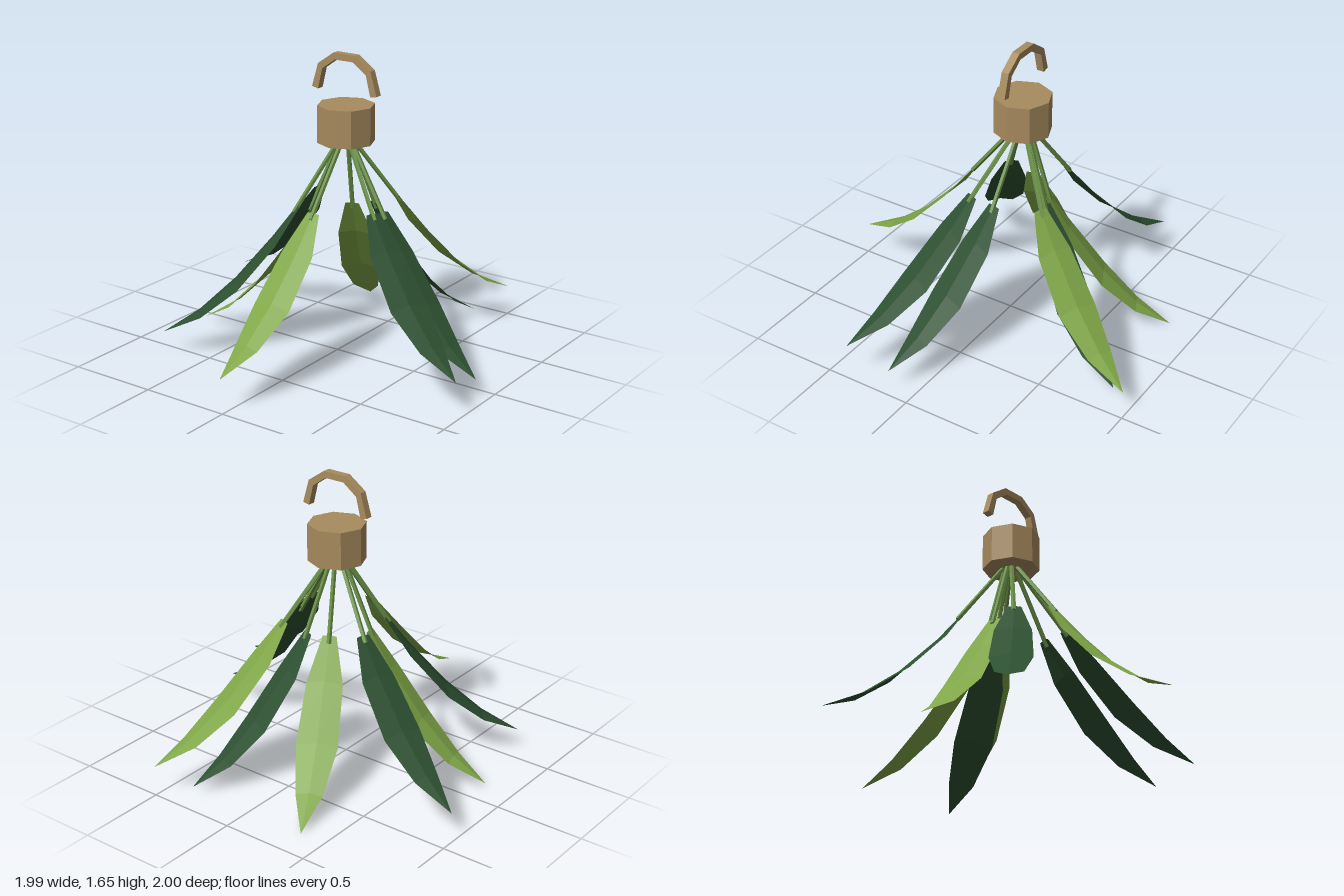
import * as THREE from 'three';

const HUB_Z = -0.077;

// Leaf base [x, y, z], tip [x, y, z] and shade
const LEAVES = [
  { base: [0.18, 0.85, -0.30], tip: [0.50, 0.17, -1.0], light: true },
  { base: [0.06, 0.80, -0.25], tip: [0.355, 0.04, -0.865] },
  { base: [-0.045, 0.79, -0.20], tip: [-0.345, 0.0, -0.825], light: true },
  { base: [-0.26, 0.85, -0.195], tip: [-0.995, 0.17, -0.43] },
  { base: [-0.18, 0.80, -0.03], tip: [-0.845, 0.035, 0.115], light: true },
  { base: [-0.18, 0.83, 0.11], tip: [-0.75, 0.125, 0.585] },
  { base: [0.0, 0.853, 0.22], tip: [-0.015, 0.185, 0.995], light: true },
  { base: [0.27, 0.86, 0.065], tip: [0.99, 0.205, 0.38] },
  { base: [0.25, 0.83, -0.06], tip: [0.96, 0.125, 0.135] },
];

// Leaf stations: [distance along leaf, half width, ridge height]
const STATIONS = [
  [0, 0.038, 0.006],
  [0.18, 0.098, 0.018],
  [0.46, 0.112, 0.022],
  [0.73, 0.072, 0.014],
  [1, 0.001, 0],
];

// Drooping blade folded along a raised midrib
function leafGeometry(base, tip) {
  const side = new THREE.Vector3(-(tip.z - base.z), 0, tip.x - base.x).normalize();
  const positions = [];
  const index = [];
  STATIONS.forEach(([u, halfWidth, ridge], i) => {
    const mid = base.clone().lerp(tip, u);
    mid.y = base.y + (tip.y - base.y) * (1.6 * u - 0.6 * u * u);
    for (const s of [-1, 0, 1]) {
      const p = mid.clone().addScaledVector(side, s * halfWidth);
      p.y += s === 0 ? ridge / 2 : -ridge / 2;
      positions.push(p.x, p.y, p.z);
    }
    if (i === 0) return;
    for (let k = 0; k < 2; k++) {
      const a = (i - 1) * 3 + k;
      index.push(a, a + 1, a + 4, a, a + 4, a + 3);
    }
  });
  const geometry = new THREE.BufferGeometry();
  geometry.setAttribute('position', new THREE.Float32BufferAttribute(positions, 3));
  // Wind every face so its front looks upward
  for (let i = 0; i < index.length; i += 3) {
    [index[i + 1], index[i + 2]] = [index[i + 2], index[i + 1]];
  }
  geometry.setIndex(index);
  const flat = geometry.toNonIndexed();
  flat.computeVertexNormals();
  return flat;
}

// Thin five-sided rod between two points
function rod(from, to, radius, material) {
  const axis = to.clone().sub(from);
  const mesh = new THREE.Mesh(
    new THREE.CylinderGeometry(radius, radius, axis.length(), 5), material);
  mesh.position.copy(from).add(to).multiplyScalar(0.5);
  mesh.quaternion.setFromUnitVectors(new THREE.Vector3(0, 1, 0), axis.normalize());
  return mesh;
}

// Half ring of five straight pieces with a square section
function hookGeometry() {
  const outer = [[0.207, 1.453], [0.168, 1.583], [0.068, 1.653]];
  const inner = [[0.058, 1.617], [0.14, 1.558], [0.168, 1.445]];
  const mirror = (list) => list.map(([x, y]) => [-x, y]).reverse();
  const outline = [...outer, ...mirror(outer), ...mirror(inner), ...inner];
  const shape = new THREE.Shape(outline.map(([x, y]) => new THREE.Vector2(x, y)));
  const geometry = new THREE.ExtrudeGeometry(shape, { depth: 0.042, bevelEnabled: false });
  return geometry.translate(0, 0, HUB_Z - 0.021);
}

export function createModel() {
  const make = (name, color, side = THREE.FrontSide) => {
    const material = new THREE.MeshStandardMaterial({ color, side, flatShading: true });
    material.name = name;
    return material;
  };
  const wood = make('wood', 0xa88b5e);
  const stemGreen = make('stem green', 0x6b9148);
  const lightGreen = make('light leaf green', 0x7fa647, THREE.DoubleSide);
  const darkGreen = make('dark leaf green', 0x2d5031, THREE.DoubleSide);

  const model = new THREE.Group();
  model.name = 'hangingLeafBundle';

  // Eight-sided binding block
  const block = new THREE.Mesh(new THREE.CylinderGeometry(0.156, 0.156, 0.205, 8), wood);
  block.name = 'bindingBlock';
  block.position.set(0, 1.2775, HUB_Z);
  model.add(block);

  // Hanging hook
  const hook = new THREE.Mesh(hookGeometry(), wood);
  hook.name = 'hook';
  model.add(hook);

  // Stems and leaves
  LEAVES.forEach((spec, i) => {
    const base = new THREE.Vector3(...spec.base);
    const tip = new THREE.Vector3(...spec.tip);
    const group = new THREE.Group();
    group.name = `leafStalk${i + 1}`;

    const outward = new THREE.Vector3(base.x, 0, base.z - HUB_Z).normalize();
    const root = new THREE.Vector3(0, 1.19, HUB_Z).addScaledVector(outward, 0.035);
    const end = base.clone().lerp(tip, 0.03);
    end.y -= 0.012;
    const stem = rod(root, end, 0.013, stemGreen);
    stem.name = 'stem';

    const leaf = new THREE.Mesh(leafGeometry(base, tip), spec.light ? lightGreen : darkGreen);
    leaf.name = 'leaf';

    group.add(stem, leaf);
    model.add(group);
  });

  return model;
}
